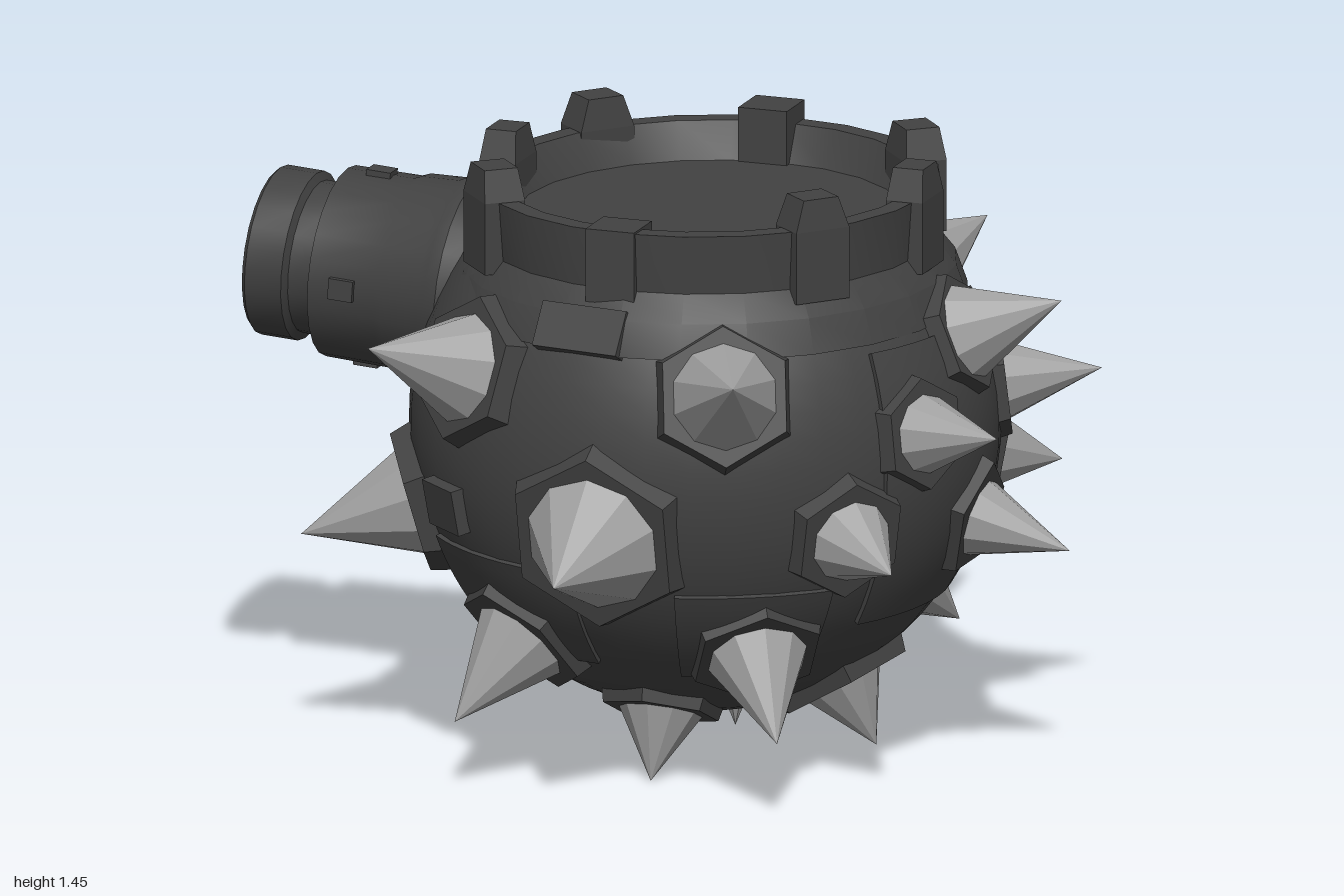
import * as THREE from 'three';
import { toCreasedNormals } from 'three/addons/utils/BufferGeometryUtils.js';

const CENTRE = new THREE.Vector3(0.08, 0.8, 0);
const R = 0.685;

export function createModel() {
  const iron = new THREE.MeshStandardMaterial({ color: 0x424242 });
  iron.name = 'dark iron';
  const steel = new THREE.MeshStandardMaterial({ color: 0xa0a0a0 });
  steel.name = 'spike steel';
  const model = new THREE.Group();
  model.name = 'spikedPot';

  const add = (parent, name, geo, mat = iron) => {
    const mesh = new THREE.Mesh(geo, mat);
    mesh.name = name;
    parent.add(mesh);
    return mesh;
  };
  const flat = (geo) => {
    const g = geo.index ? geo.toNonIndexed() : geo;
    g.computeVertexNormals();
    return g;
  };
  const lathe = (pts, sides) =>
    new THREE.LatheGeometry(pts.map(([r, y]) => new THREE.Vector2(r, y)), sides);
  // Group at the sphere centre whose +z axis points along dir
  const radial = (name, dir) => {
    const g = new THREE.Group();
    g.name = name;
    g.lookAt(dir);
    g.position.copy(CENTRE);
    model.add(g);
    return g;
  };
  // Tooth block: straight lower part, narrowing to a small flat top
  const toothBlock = (w, h, d) => {
    const g = new THREE.BoxGeometry(w, h, d, 1, 2, 1);
    const p = g.attributes.position;
    for (let i = 0; i < p.count; i++) {
      const k = p.getY(i) > 0.01 ? 0.65 : 1;
      const y = Math.abs(p.getY(i)) < 0.01 ? h * 0.2 : p.getY(i);
      p.setXYZ(i, p.getX(i) * k, y, p.getZ(i) * (k + 1) / 2);
    }
    return flat(g);
  };

  // Round body, open under the collar
  const body = add(model, 'body', new THREE.SphereGeometry(R, 40, 24, 0, Math.PI * 2, 0.84, Math.PI - 0.84));
  body.position.copy(CENTRE);

  // Curved armour panels: a box bent onto the sphere [azimuth, latitude, width, height]
  const panel = ([az, lat, w, h]) => {
    const g = new THREE.BoxGeometry(w, h, 0.03, 10, 10, 1);
    const p = g.attributes.position;
    for (let i = 0; i < p.count; i++) {
      const a = az + p.getX(i), b = lat + p.getY(i), r = R - 0.005 + p.getZ(i);
      p.setXYZ(i, r * Math.cos(b) * Math.sin(a), r * Math.sin(b), r * Math.cos(b) * Math.cos(a));
    }
    add(model, 'armourPanel', toCreasedNormals(g, 0.5)).position.copy(CENTRE);
  };
  panel([Math.PI / 2, -0.08, 1.1, 1.0]);
  for (const s of [0, 1]) {
    const mirror = (a) => (s ? Math.PI - a : a);
    panel([mirror(-0.52), -0.55, 0.75, 0.42]);
    panel([mirror(0.55), -0.6, 0.6, 0.4]);
  }

  // Collar with recessed floor, slightly narrower from side to side
  const collar = add(model, 'collar', toCreasedNormals(lathe([
    [0.635, 1.1], [0.605, 1.18], [0.555, 1.24], [0.565, 1.38], [0.515, 1.38], [0.47, 1.295], [0, 1.295],
  ], 24), 0.4));
  collar.position.x = 0.095;
  collar.scale.x = 0.95;

  // Collar teeth: x, z, turn, top height, width, depth; the front one is cut level with the rim
  const addTooth = (x, z, turn, top, geo) => {
    const tooth = add(model, 'collarTooth', geo);
    tooth.position.set(x, (top + 1.21) / 2, z);
    tooth.rotation.y = turn;
  };
  addTooth(0.06, 0.51, 0, 1.385, new THREE.BoxGeometry(0.12, 0.175, 0.12));
  addTooth(0.06, -0.51, 0, 1.425, new THREE.BoxGeometry(0.12, 0.215, 0.12));
  for (const sx of [1, -1]) {
    addTooth(0.1 + sx * 0.505, 0, sx * Math.PI / 2, 1.455, toothBlock(0.14, 0.245, 0.09));
    for (const sz of [1, -1]) {
      addTooth(0.085 + sx * 0.395, sz * 0.345, Math.atan2(sx * 0.39, sz * 0.34), 1.455, toothBlock(0.14, 0.245, 0.1));
    }
  }

  // Side spout with stepped rings and an open bore
  const spout = new THREE.Group();
  spout.name = 'spout';
  spout.position.set(-0.085, 1.04, 0);
  spout.rotation.z = 1.5;
  model.add(spout);
  add(spout, 'spoutTube', toCreasedNormals(lathe([
    [0, 0.34], [0.22, 0.34], [0.255, 0.41], [0.25, 0.44], [0.24, 0.46], [0.235, 0.55], [0.227, 0.57], [0.225, 0.735],
    [0.18, 0.745], [0.18, 0.8], [0.2, 0.81], [0.2, 0.9], [0.19, 0.91], [0.13, 0.91], [0.12, 0.74], [0, 0.74],
  ], 24), 0.5));
  for (let i = 0; i < 4; i++) {
    const a = (i * Math.PI) / 2;
    const lug = add(spout, 'spoutLug', new THREE.BoxGeometry(0.05, 0.06, 0.05));
    lug.position.set(0.212 * Math.sin(a), 0.65, 0.212 * Math.cos(a));
    lug.rotation.y = a;
  }

  // Spikes: tip x, y, z, base radius, sides of the mount, mount scale, mount top
  const spikes = [
    [0.05, 0.61, 0.92, 0.165, 6, 1.38, 0.695],
    [-0.47, 1.1, 0.76, 0.135, 6, 1.35, 0.71],
    [0.47, 1.11, 0.85, 0.13, 6, 1.35, 0.71],
    [-0.78, 0.53, 0.37, 0.135, 6, 1.35, 0.71],
    [0.76, 0.62, 0.57, 0.11, 6, 1.4, 0.71],
    [0.94, 0.91, 0.35, 0.1, 6, 1.4, 0.71],
    [-0.31, 0.18, 0.61, 0.12, 6, 1.5, 0.7],
    [0.49, 0.2, 0.61, 0.12, 6, 1.4, 0.7],
    [0.08, 0.01, 0.35, 0.105, 6, 1.4, 0.7],
    [0.97, 1.16, 0, 0.12, 6, 1.25, 0.71],
    [0.99, 0.56, 0, 0.1, 5, 1.5, 0.71],
    [0.51, 0.05, 0, 0.105, 6, 1.8, 0.7],
  ];
  const makeSpike = (x, y, z, r, sides, k, top) => {
    const dir = new THREE.Vector3(x, y, z).sub(CENTRE);
    const length = dir.length() - 0.67;
    const g = radial('spike', dir);
    const cone = add(g, 'spikeCone', flat(new THREE.ConeGeometry(r * 1.1, length, 10).rotateX(Math.PI / 2)), steel);
    cone.position.z = 0.67 + length / 2;
    const mount = add(g, 'spikeMount',
      flat(new THREE.CylinderGeometry(r * k * 0.94, r * k * 1.08, 0.09, sides).rotateX(Math.PI / 2)));
    mount.position.z = top - 0.045;
    mount.rotation.z = Math.PI;
  };
  for (const [x, y, z, ...rest] of spikes) {
    makeSpike(x, y, z, ...rest);
    if (z) makeSpike(x, y, -z, ...rest);
  }

  // Two tiny studs underneath
  for (const x of [0.02, 0.16]) {
    const stud = add(model, 'bottomStud', flat(new THREE.ConeGeometry(0.025, 0.06, 8).rotateX(Math.PI)), steel);
    stud.position.set(x, 0.095, 0);
  }

  // Small raised plates on front and back
  for (const s of [1, -1]) {
    const square = radial('squarePlate', new THREE.Vector3(-0.45, -0.13, 0.52 * s));
    add(square, 'squareBlock', new THREE.BoxGeometry(0.14, 0.11, 0.08)).position.z = 0.67;
    const brow = radial('browPlate', new THREE.Vector3(-0.08, 0.35, 0.6 * s));
    add(brow, 'browBlock', new THREE.BoxGeometry(0.22, 0.11, 0.08)).position.z = 0.67;
  }
  return model;
}
